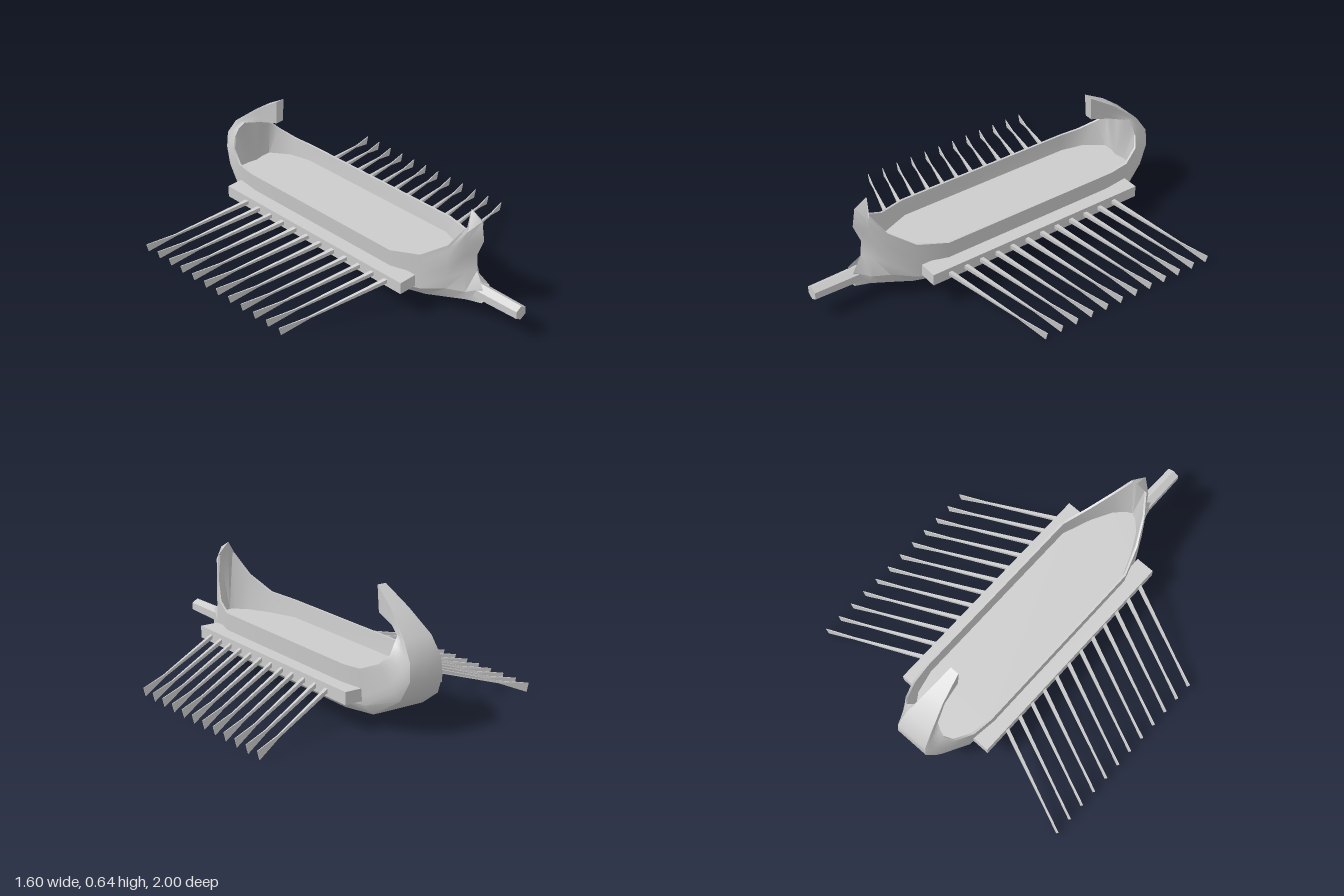
import * as THREE from 'three';
import { toCreasedNormals } from 'three/addons/utils/BufferGeometryUtils.js';

const grey = new THREE.MeshStandardMaterial({ color: 0xcccccc });
const shell = new THREE.MeshStandardMaterial({ color: 0xcccccc, side: THREE.DoubleSide });
const FLOOR = 0.2;

function addMesh(parent, name, geometry, material = grey) {
  const mesh = new THREE.Mesh(geometry, material);
  mesh.name = name;
  parent.add(mesh);
  return mesh;
}

// Half section from keel [y, z] to rim [y, z], with the floor corner last
function section(keel, rim, chineX, bilgeX, rimX, floor) {
  const points = [[0, ...keel], [chineX, ...keel]];
  for (const t of [0.22, 0.42, 0.6, 0.75, 0.9, 1]) {
    const x = THREE.MathUtils.lerp(bilgeX, rimX, (t - 0.22) / 0.78);
    points.push([x, keel[0] + (rim[0] - keel[0]) * t, keel[1] + (rim[1] - keel[1]) * t]);
  }
  return { points, floor: floor || [0, ...rim] };
}

function hullSections() {
  // Stem, and the flared section just behind it
  const stem = {
    points: [[0, 0.1, 0.78], [0.03, 0.1, 0.78], [0.025, 0.18, 0.78], [0, 0.245, 0.72],
      [0, 0.33, 0.715], [0, 0.43, 0.755], [0, 0.53, 0.74], [0, 0.57, 0.67]],
    floor: [0, FLOOR, 0.665],
  };
  const flare = {
    points: [[0, 0.09, 0.7], [0.045, 0.09, 0.7], [0.058, 0.14, 0.7], [0.043, 0.24, 0.685],
      [0.045, 0.33, 0.68], [0.055, 0.42, 0.695], [0.055, 0.48, 0.7], [0.05, 0.5, 0.69]],
    floor: [0.03, FLOOR, 0.65],
  };
  return [
    stem,
    flare,
    section([0.075, 0.62], [0.39, 0.62], 0.07, 0.105, 0.105, [0.08, FLOOR, 0.6]),
    section([0.06, 0.5], [0.31, 0.5], 0.12, 0.165, 0.165, [0.14, FLOOR, 0.49]),
    section([0.05, 0.35], [0.29, 0.35], 0.158, 0.207, 0.217, [0.197, FLOOR, 0.34]),
    section([0.05, -0.6], [0.29, -0.66], 0.158, 0.207, 0.217, [0.197, FLOOR, -0.66]),
    section([0.07, -0.8], [0.295, -0.77], 0.145, 0.185, 0.204, [0.17, FLOOR, -0.78]),
    section([0.17, -0.95], [0.335, -0.86], 0.11, 0.135, 0.165, [0.1, FLOOR, -0.88]),
    section([0.27, -0.998], [0.38, -0.89], 0.095, 0.11, 0.125, [0.05, FLOOR, -0.88]),
    // Curled stern post
    section([0.36, -0.99], [0.425, -0.885], 0.09, 0.095, 0.1, [0, FLOOR, -0.87]),
    section([0.45, -0.93], [0.455, -0.87], 0.08, 0.08, 0.07),
    section([0.555, -0.8], [0.48, -0.78], 0.048, 0.045, 0.035),
    section([0.64, -0.66], [0.51, -0.67], 0.024, 0.024, 0.022),
  ];
}

// Closed loop: left floor, rim, keel, right rim, right floor
function ring({ points, floor }) {
  const rim = points[points.length - 1];
  const inner = [Math.max(0, rim[0] - 0.012), rim[1], rim[2]];
  const half = [floor, inner, ...points.slice().reverse()];
  const other = half.slice(0, -1).reverse().map(([x, y, z]) => [-x, y, z]);
  return [...half, ...other].map((p) => new THREE.Vector3(...p));
}

function hullGeometry() {
  const rings = hullSections().map(ring);
  const n = rings[0].length;
  const vertices = [];
  const triangle = (a, b, c) => {
    if (new THREE.Triangle(a, b, c).getArea() < 1e-7) return;
    for (const p of [a, b, c]) vertices.push(p.x, p.y, p.z);
  };
  for (let i = 0; i < rings.length - 1; i++) {
    for (let j = 0; j < n; j++) {
      const k = (j + 1) % n;
      const [a, b, c, d] = [rings[i][j], rings[i][k], rings[i + 1][k], rings[i + 1][j]];
      if (j < n / 2) {
        triangle(a, b, c);
        triangle(a, c, d);
      } else { // mirrored diagonal
        triangle(a, b, d);
        triangle(b, c, d);
      }
    }
  }
  // End of the stern post
  const end = rings[rings.length - 1];
  for (let j = 1; j < n - 1; j++) triangle(end[0], end[j], end[j + 1]);
  const geometry = new THREE.BufferGeometry();
  geometry.setAttribute('position', new THREE.Float32BufferAttribute(vertices, 3));
  return toCreasedNormals(geometry, 0.6);
}

// Tapered shaft flaring into a thin upright blade
function oarGeometry(side) {
  const geometry = new THREE.BoxGeometry(1, 1, 1, 2, 1, 1);
  const p = geometry.attributes.position;
  const profile = [[0, 0.011, 0.011], [0.74, 0.005, 0.004], [1, 0.0225, 0.002]];
  for (let i = 0; i < p.count; i++) {
    const [t, high, deep] = profile[Math.round((side * p.getX(i) + 0.5) * 2)];
    const v = Math.sign(p.getY(i));
    p.setXYZ(i,
      side * (0.25 + 0.543 * t + 0.006 * t * v),
      0.175 - 0.1525 * t + high * v,
      0.014 - 0.214 * t + deep * Math.sign(p.getZ(i)));
  }
  const flat = geometry.toNonIndexed();
  flat.computeVertexNormals();
  return flat;
}

export function createModel() {
  const model = new THREE.Group();
  model.name = 'galley';

  addMesh(model, 'hull', hullGeometry(), shell);

  // Six-sided ram at the waterline
  const ramShape = new THREE.CylinderGeometry(0.038, 0.043, 0.3, 6).toNonIndexed();
  ramShape.computeVertexNormals();
  const ram = addMesh(model, 'ram', ramShape);
  ram.rotation.x = Math.PI / 2;
  ram.position.set(0, 0.142, 0.85);

  // Outriggers and their banks of oars
  for (const side of [1, -1]) {
    const label = side > 0 ? 'left' : 'right';
    const outrigger = addMesh(model, label + 'Outrigger', new THREE.BoxGeometry(0.1, 0.063, 1.26));
    outrigger.position.set(side * 0.235, 0.167, -0.14);

    const bank = new THREE.Group();
    bank.name = label + 'Oars';
    const shape = oarGeometry(side);
    for (let i = 0; i < 12; i++) {
      addMesh(bank, 'oar', shape).position.z = 0.39 - i * 0.092;
    }
    model.add(bank);
  }
  return model;
}
